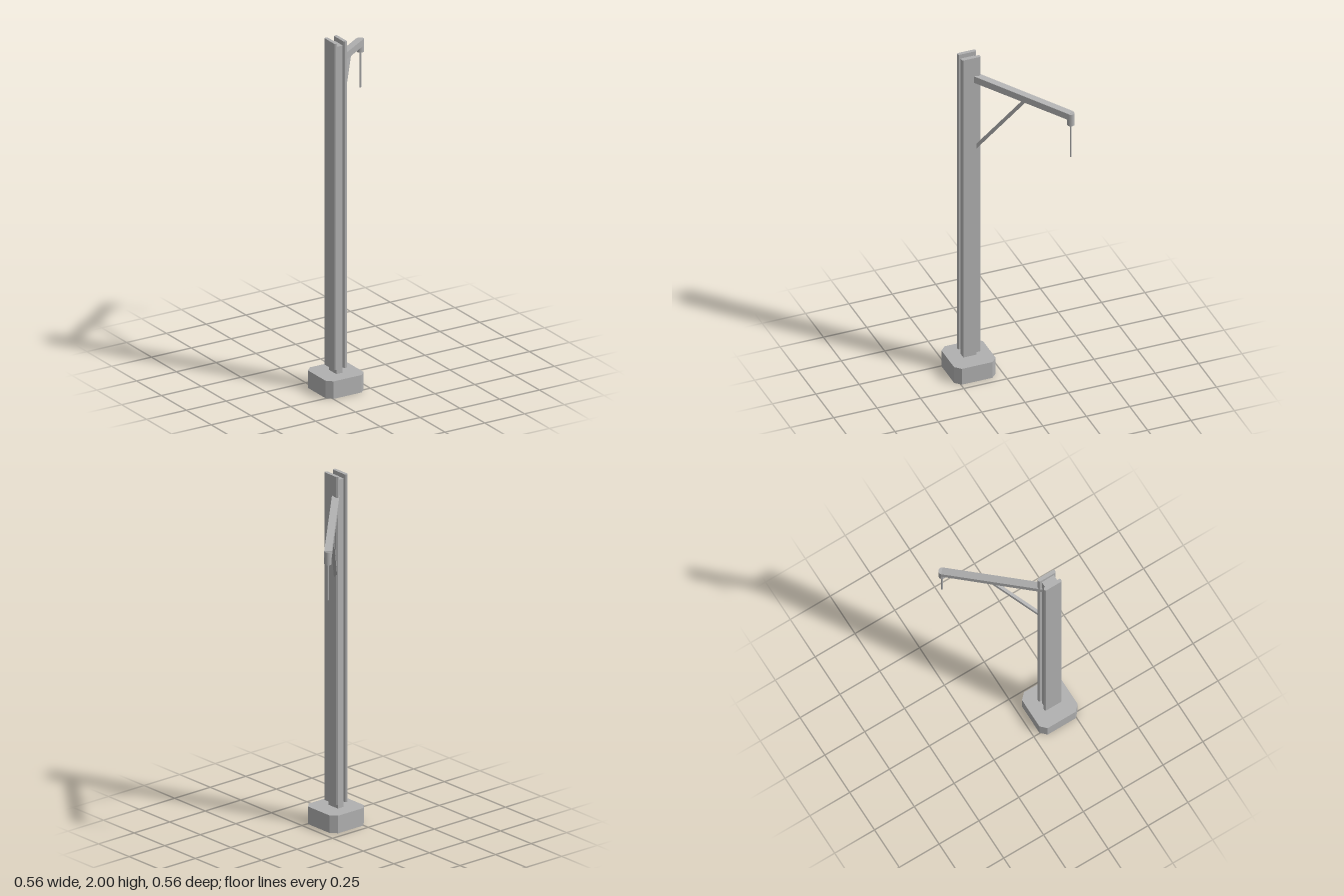
import * as THREE from 'three';

export function createModel() {
  const model = new THREE.Group();
  const steel = new THREE.MeshStandardMaterial({ color: 0xb0b0b0 });
  steel.name = 'grey steel';

  const add = (parent, name, geometry, x = 0, y = 0, z = 0) => {
    const mesh = new THREE.Mesh(geometry, steel);
    mesh.name = name;
    mesh.position.set(x, y, z);
    parent.add(mesh);
    return mesh;
  };
  const extrude = (points, depth) => new THREE.ExtrudeGeometry(
    new THREE.Shape(points.map(([x, y]) => new THREE.Vector2(x, y))),
    { depth, bevelEnabled: false });

  // Upright block with its vertical edges cut off
  const prism = (w, d, h, c) => {
    const a = w / 2, b = d / 2;
    return extrude([
      [a, -b + c], [a, b - c], [a - c, b], [-a + c, b],
      [-a, b - c], [-a, -b + c], [-a + c, -b], [a - c, -b],
    ], h).rotateX(-Math.PI / 2);
  };

  // Footing and H-section post
  const px = -0.159, pz = 0.157;
  add(model, 'footing', prism(0.24, 0.24, 0.1, 0.032), px, 0, pz);
  add(model, 'postWeb', new THREE.BoxGeometry(0.04, 1.875, 0.076), px, 1.0375, pz);
  for (const [side, name] of [[-1, 'rightFlange'], [1, 'leftFlange']]) {
    add(model, name, prism(0.02, 0.107, 1.87, 0.006), px + side * 0.03, 0.13, pz - 0.001);
  }

  // Arm assembly, swung diagonally towards the back left
  const arm = new THREE.Group();
  arm.name = 'arm';
  arm.position.set(-0.135, 0, 0.131);
  arm.rotation.y = Math.PI / 4;
  model.add(arm);

  // Sloping boom
  add(arm, 'boom', extrude([
    [0, 1.845], [0.555, 1.742], [0.555, 1.78], [0, 1.886],
  ], 0.04).translate(0, 0, -0.02));

  // Diagonal brace
  const from = new THREE.Vector2(0.008, 1.43), to = new THREE.Vector2(0.292, 1.795);
  const run = to.clone().sub(from);
  const brace = add(arm, 'brace', new THREE.BoxGeometry(run.length(), 0.018, 0.018),
    (from.x + to.x) / 2, (from.y + to.y) / 2);
  brace.rotation.z = run.angle();

  // End cap and hanging rod
  add(arm, 'endCap', new THREE.CylinderGeometry(0.02, 0.02, 0.073, 12).toNonIndexed(), 0.554, 1.7415, 0)
    .geometry.computeVertexNormals();
  add(arm, 'hangingRod', new THREE.CylinderGeometry(0.005, 0.005, 0.21, 8), 0.554, 1.605, 0);

  return model;
}
